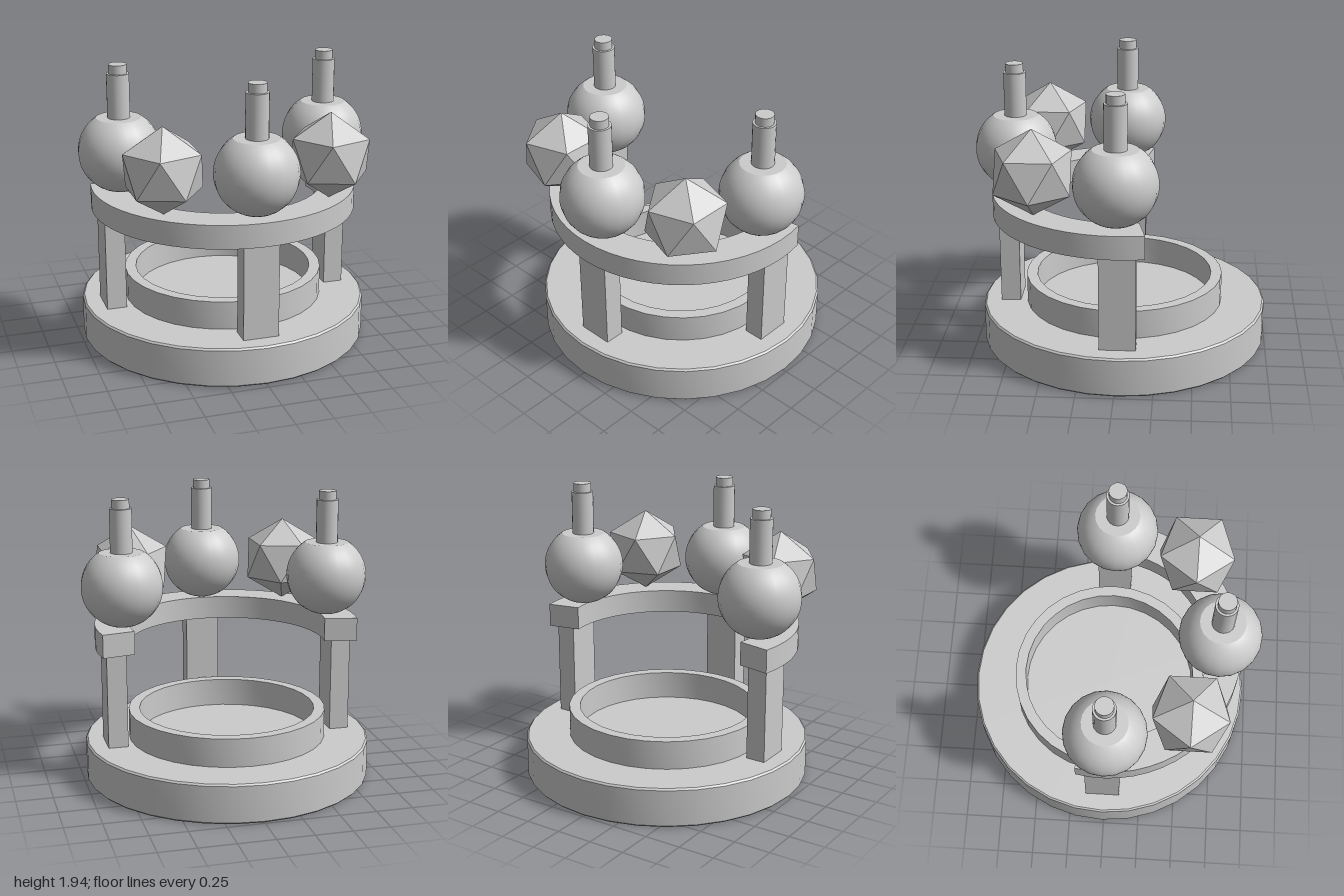
import * as THREE from 'three';
import { toCreasedNormals } from 'three/addons/utils/BufferGeometryUtils.js';

const CZ = -0.015; // centre of the stand in z
const smooth = new THREE.MeshStandardMaterial({ color: 0xcccccc });
const faceted = new THREE.MeshStandardMaterial({ color: 0xcccccc, flatShading: true });

function add(parent, name, geometry, x, y, z, material = smooth) {
  const mesh = new THREE.Mesh(geometry, material);
  mesh.name = name;
  mesh.position.set(x, y, z);
  parent.add(mesh);
  return mesh;
}

// Extrudes a flat shape upwards, keeping curved walls smooth
function slab(shape, height) {
  const g = new THREE.ExtrudeGeometry(shape, { depth: height, bevelEnabled: false, curveSegments: 16 });
  g.rotateX(-Math.PI / 2);
  return toCreasedNormals(g, 0.5);
}

// Round bulb with a flat top, a stem and a narrow tip
function createBulb() {
  const bulb = new THREE.Group();
  bulb.name = 'bulb';
  const R = 0.275, open = Math.asin(0.15 / R), shoulder = R * Math.cos(open);
  add(bulb, 'bulbBody',
    new THREE.SphereGeometry(R, 20, 24, 0, Math.PI * 2, open, Math.PI - open), 0, 0, 0);
  const cap = new THREE.CircleGeometry(0.15, 20);
  cap.rotateX(-Math.PI / 2);
  add(bulb, 'bulbTop', cap, 0, shoulder, 0);
  add(bulb, 'stem', new THREE.CylinderGeometry(0.075, 0.075, 0.295, 20), 0, shoulder + 0.1475, 0);
  add(bulb, 'stemTip', new THREE.CylinderGeometry(0.06, 0.06, 0.06, 20), 0, shoulder + 0.325, 0);
  return bulb;
}

export function createModel() {
  const model = new THREE.Group();
  model.name = 'displayStand';

  // Round base with a small chamfer
  const profile = [[0, 0], [0.968, 0], [0.98, 0.012], [0.98, 0.258], [0.968, 0.27], [0, 0.27]]
    .map(([r, y]) => new THREE.Vector2(r, y));
  add(model, 'base', toCreasedNormals(new THREE.LatheGeometry(profile, 32), 0.5), 0, 0, CZ);

  // Low ring on the base
  const ring = new THREE.Shape().absarc(0, 0, 0.68, 0, Math.PI * 2, false);
  ring.holes.push(new THREE.Path().absarc(0, 0, 0.605, 0, Math.PI * 2, true));
  add(model, 'baseRing', slab(ring, 0.195), 0, 0.27, CZ);

  // Raised curved shelf, slightly more than a half circle, open at the back
  const over = 0.197;
  const arc = new THREE.Shape();
  arc.absarc(0, 0, 0.9, Math.PI - over, Math.PI * 2 + over, false);
  arc.absarc(0, 0, 0.675, Math.PI * 2 + over, Math.PI - over, true);
  arc.closePath();
  add(model, 'curvedShelf', slab(arc, 0.16), 0, 0.92, CZ);

  // A post and a bulb at the left, front and right
  for (const angle of [-Math.PI / 2, 0, Math.PI / 2]) {
    const sx = Math.sin(angle), cz = Math.cos(angle);
    const post = add(model, 'post', new THREE.BoxGeometry(0.24, 0.65, 0.135),
      0.785 * sx, 0.595, CZ + 0.785 * cz);
    post.rotation.y = angle;
    const bulb = createBulb();
    bulb.position.set(0.715 * sx, 1.355, 0.718 * cz);
    model.add(bulb);
  }

  // Twenty-sided gems standing on a corner between the bulbs
  const gem = new THREE.IcosahedronGeometry(0.29, 0);
  gem.rotateZ(Math.atan(2 / (1 + Math.sqrt(5))));
  for (const side of [-1, 1]) add(model, 'gem', gem, side * 0.56, 1.37, 0.543, faceted);

  return model;
}
